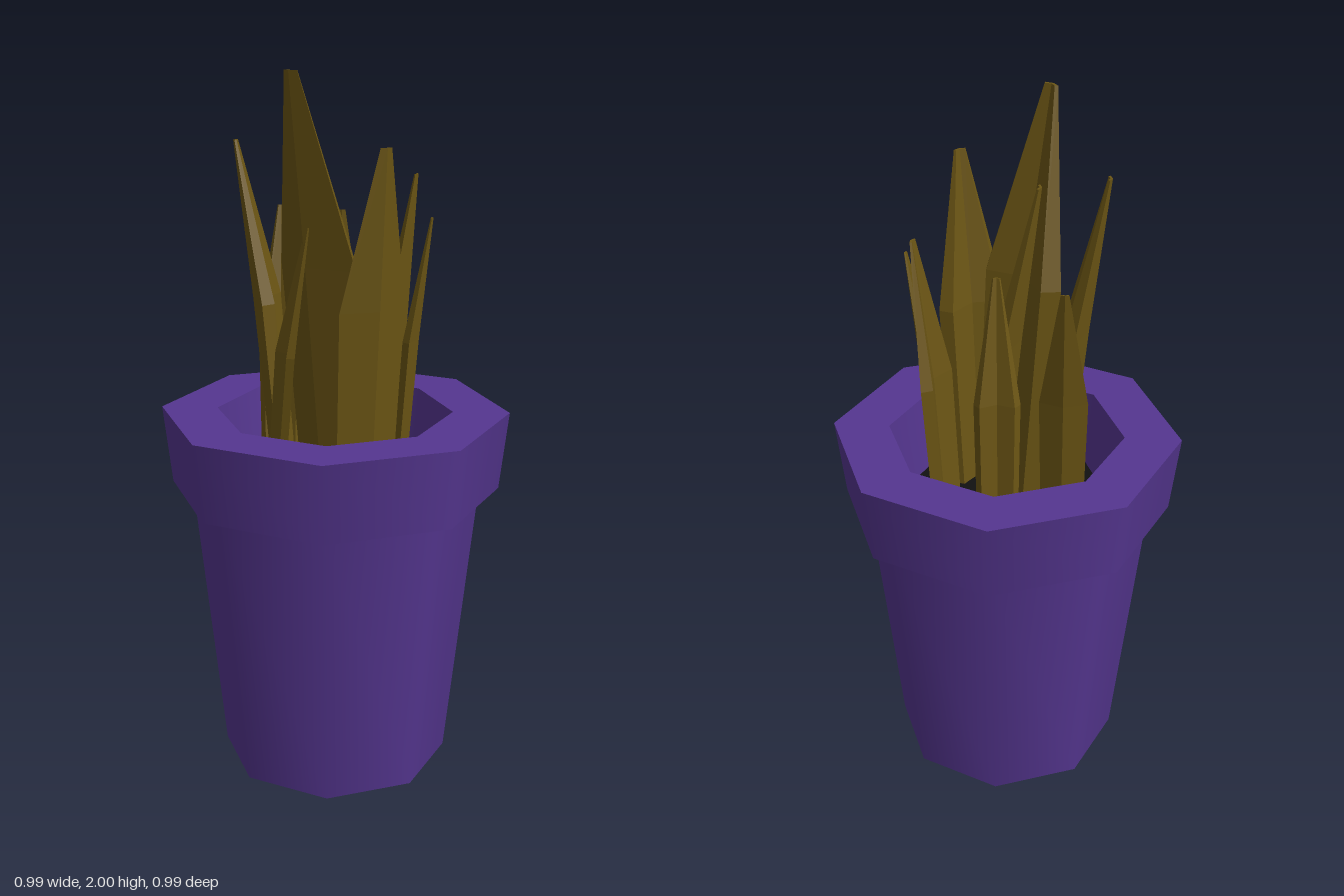
import * as THREE from 'three';
import { mergeGeometries } from 'three/addons/utils/BufferGeometryUtils.js';

const purple = new THREE.MeshStandardMaterial({ color: 0x553690 });
const black = new THREE.MeshStandardMaterial({ color: 0x111111 });
const olive = new THREE.MeshStandardMaterial({ color: 0x6b5514, flatShading: true });

const SOIL_Y = 0.83;

// Octagonal turned part: each profile step is its own lathe, so its edges stay sharp
function turned(name, profile) {
  const bands = [];
  for (let i = 0; i < profile.length - 1; i++) {
    const pair = [profile[i], profile[i + 1]].map(([r, y]) => new THREE.Vector2(r, y));
    bands.push(new THREE.LatheGeometry(pair, 8));
  }
  const mesh = new THREE.Mesh(mergeGeometries(bands), purple);
  mesh.name = name;
  return mesh;
}

// Folded leaf blade: a chevron section that swells, then tapers to a blunt leaning tip
function leaf(x, z, tipX, tipZ, height, w) {
  const lean = Math.hypot(tipX - x, tipZ - z);
  const section = [[0, 0.35 * w], [-w, 0], [-0.75 * w, -0.3 * w], [0, 0], [0.75 * w, -0.3 * w], [w, 0]];
  const rows = [[0, 0.88, 0], [0.57, 1, 0.38], [1, 0.17, 1]]; // height, width, lean
  const n = section.length;
  const positions = [];
  const index = [];
  for (const [h, scale, bend] of rows) {
    for (const [u, v] of section) {
      positions.push(u * scale, SOIL_Y - 0.02 + h * (height - SOIL_Y + 0.02), v * scale + bend * lean);
    }
  }
  for (let r = 0; r < rows.length - 1; r++) {
    for (let i = 0; i < n; i++) {
      const a = r * n + i, b = r * n + (i + 1) % n;
      index.push(a, a + n, b, b, a + n, b + n);
    }
  }
  // Tip cap
  const top = (rows.length - 1) * n;
  for (let i = 1; i < n - 1; i++) index.push(top, top + i + 1, top + i);

  const geometry = new THREE.BufferGeometry();
  geometry.setAttribute('position', new THREE.Float32BufferAttribute(positions, 3));
  geometry.setIndex(index);
  geometry.computeVertexNormals();
  const mesh = new THREE.Mesh(geometry, olive);
  mesh.position.set(x, 0, z);
  mesh.rotation.y = Math.atan2(tipX - x, tipZ - z);
  return mesh;
}

export function createModel() {
  const model = new THREE.Group();
  model.name = 'pottedPlant';

  model.add(turned('pot', [[0, 0], [0.33, 0], [0.415, 0.83]]));
  model.add(turned('rim', [[0.41, 0.83], [0.47, 0.83], [0.495, 1.055], [0.335, 1.055], [0.31, SOIL_Y]]));

  // Soil disc inside the rim
  const soil = new THREE.Mesh(new THREE.CircleGeometry(0.312, 8), black);
  soil.name = 'soil';
  soil.rotation.x = -Math.PI / 2;
  soil.position.y = SOIL_Y;
  model.add(soil);

  // Leaves: base x, base z, tip x, tip z, height, half width
  const leaves = new THREE.Group();
  leaves.name = 'leaves';
  [
    [0.0, 0.06, -0.1, 0.18, 2.0, 0.14],
    [-0.14, 0.02, -0.265, 0.02, 1.81, 0.105],
    [0.09, 0.125, 0.145, 0.2, 1.81, 0.105],
    [0.04, -0.055, -0.09, -0.06, 1.81, 0.11],
    [0.145, -0.19, 0.22, -0.17, 1.7, 0.085],
    [0.18, -0.025, 0.265, -0.02, 1.6, 0.065],
    [-0.17, -0.15, -0.17, -0.24, 1.6, 0.065],
    [0.0, -0.24, 0.01, -0.155, 1.6, 0.062],
    [-0.15, 0.19, -0.06, 0.15, 1.6, 0.062],
  ].forEach((spec, i) => {
    const blade = leaf(...spec);
    blade.name = `leaf${i + 1}`;
    leaves.add(blade);
  });
  model.add(leaves);

  return model;
}
